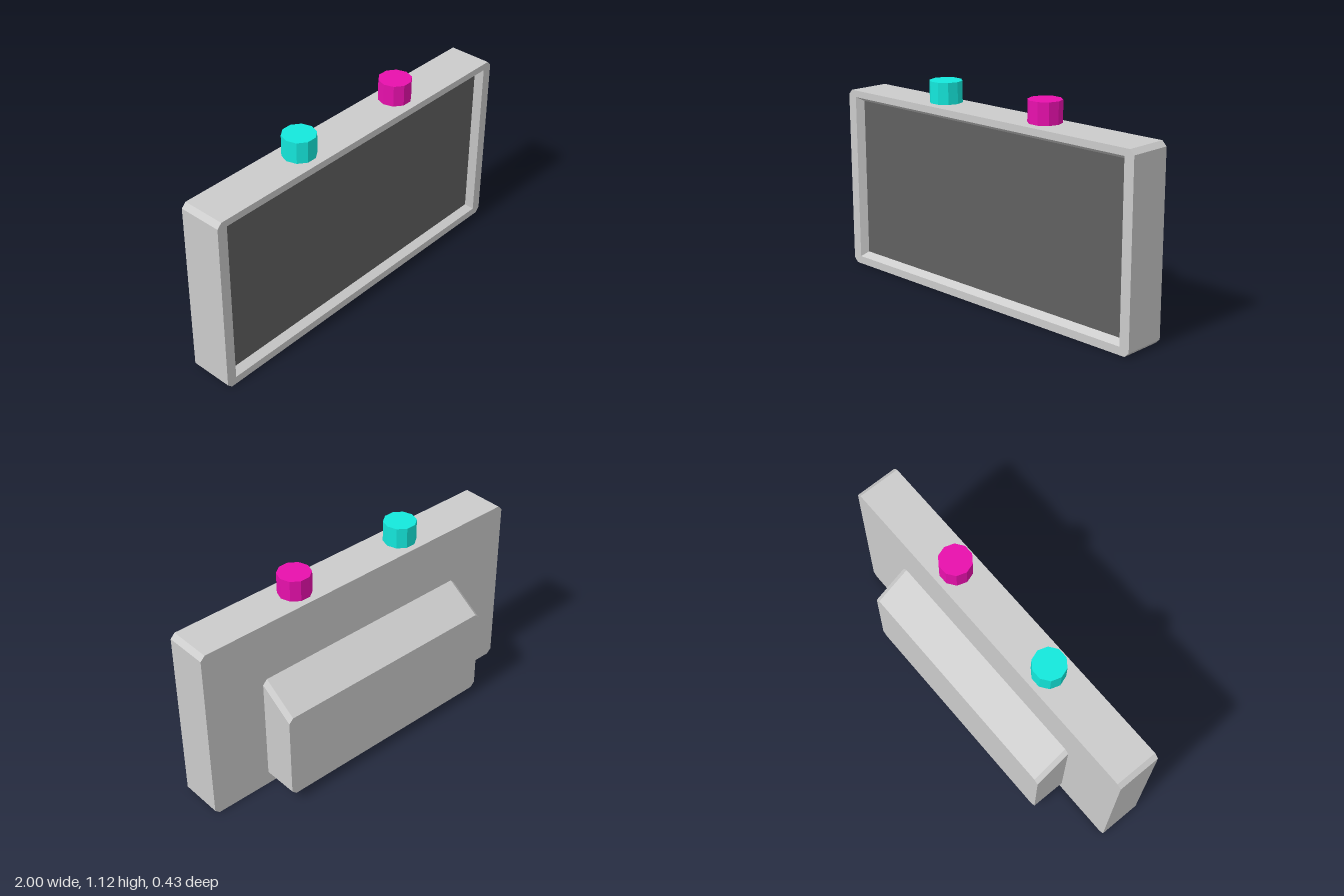
import * as THREE from 'three';

const material = (color) => new THREE.MeshStandardMaterial({ color, flatShading: true });

// Rectangle with clipped corners, counter-clockwise seen from the front
function ring(halfWidth, y0, y1, z, clip) {
  const w = halfWidth, c = clip;
  return [
    [-w + c, y0], [w - c, y0], [w, y0 + c], [w, y1 - c],
    [w - c, y1], [-w + c, y1], [-w, y1 - c], [-w, y0 + c],
  ].map(([x, y]) => new THREE.Vector3(x, y, z));
}

// Skin a list of rings, closing the first one with a back face
function loft(rings) {
  const points = [];
  const triangle = new THREE.Triangle();
  const add = (a, b, c) => {
    if (triangle.set(a, b, c).getArea() > 1e-8) points.push(a, b, c);
  };
  const back = rings[0];
  for (let i = 1; i < back.length - 1; i++) add(back[0], back[i + 1], back[i]);
  for (let k = 0; k < rings.length - 1; k++) {
    const r = rings[k], s = rings[k + 1];
    for (let i = 0; i < r.length; i++) {
      const j = (i + 1) % r.length;
      add(r[i], r[j], s[j]);
      add(r[i], s[j], s[i]);
    }
  }
  const geometry = new THREE.BufferGeometry().setFromPoints(points);
  geometry.computeVertexNormals();
  return geometry;
}

export function createModel() {
  const model = new THREE.Group();
  const grey = material(0xcccccc);
  const addMesh = (name, geometry, mat, x = 0, y = 0, z = 0) => {
    const mesh = new THREE.Mesh(geometry, mat);
    mesh.name = name;
    mesh.position.set(x, y, z);
    model.add(mesh);
    return mesh;
  };

  // Casing with clipped corners and a tapered recess in the front
  addMesh('casing', loft([
    ring(1, 0, 1, -0.021, 0.025),
    ring(1, 0, 1, 0.215, 0.025),
    ring(0.944, 0.043, 0.963, 0.215, 0),
    ring(0.92, 0.067, 0.94, 0.175, 0),
  ]), grey);

  // Dark screen at the bottom of the recess
  addMesh('screen', new THREE.PlaneGeometry(1.84, 0.873), material(0x606060), 0, 0.5035, 0.175);

  // Rear housing with a sloping top
  addMesh('rearHousing', loft([
    ring(0.657, 0.052, 0.55, -0.215, 0.025),
    ring(0.657, 0.052, 0.677, -0.021, 0.025),
  ]), grey);

  // Two ten-sided knobs on top
  const knob = new THREE.CylinderGeometry(0.0875, 0.0875, 0.115, 10).rotateY(Math.PI / 2);
  addMesh('rightKnob', knob, material(0x14e8dc), -0.35, 1.0625, 0.092);
  addMesh('leftKnob', knob, material(0xe810ad), 0.35, 1.0625, 0.092);

  return model;
}
